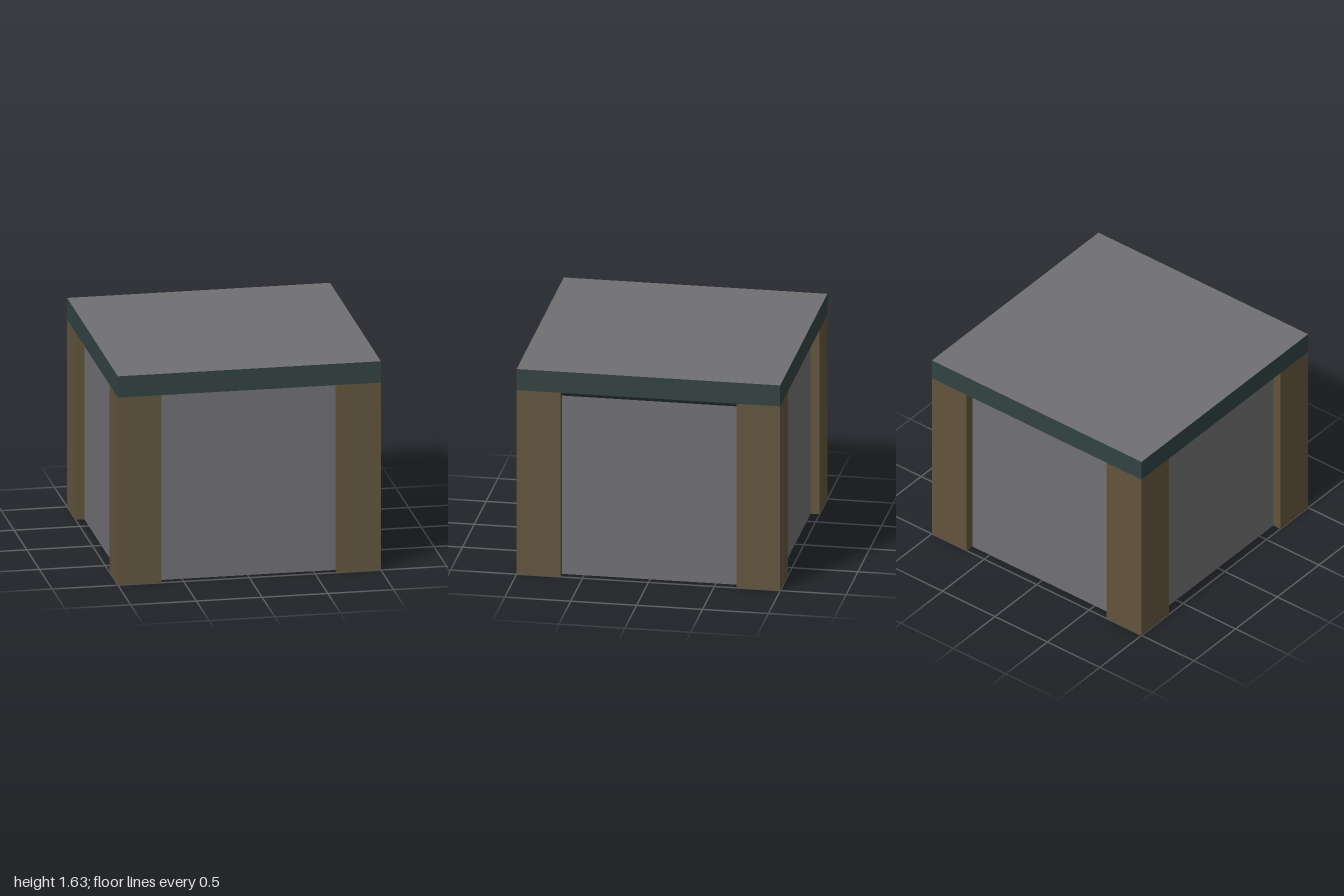
import * as THREE from 'three';

const ROOF = 1.634, EAVE = 1.467, SILL = 1.42; // heights
const IN = 0.667, WALL = 0.933;                // post inner edge, recessed wall plane

const mat = (color) => new THREE.MeshStandardMaterial({ color, side: THREE.DoubleSide, flatShading: true });

// Open strip of flat quads between two matching rows of points
function strip(name, rowA, rowB, material) {
  const pos = [];
  for (let i = 0; i < rowA.length - 1; i++) {
    const [a, b, c, d] = [rowA[i], rowA[i + 1], rowB[i + 1], rowB[i]];
    pos.push(...a, ...b, ...c, ...a, ...c, ...d);
  }
  const g = new THREE.BufferGeometry();
  g.setAttribute('position', new THREE.Float32BufferAttribute(pos, 3));
  g.computeVertexNormals();
  const m = new THREE.Mesh(g, material);
  m.name = name;
  return m;
}

export function createModel() {
  const model = new THREE.Group();
  model.name = 'squareShelter';
  const grey = mat(0x707072), wood = mat(0x62543d), teal = mat(0x324241);

  // Plan of one corner post, open towards the inside
  const plan = [[WALL, IN], [1, IN], [1, 1], [IN, 1], [IN, WALL]];

  for (let i = 0; i < 4; i++) {
    const side = new THREE.Group();
    side.name = 'side' + (i + 1);
    side.rotation.y = i * Math.PI / 2;

    // Corner post: outer faces and foot
    const ring = (y) => plan.map(([x, z]) => [x, y, z]).reverse();
    side.add(strip('post', ring(0), ring(EAVE), wood));
    const foot = new THREE.Mesh(
      new THREE.ShapeGeometry(new THREE.Shape(plan.map(([x, z]) => new THREE.Vector2(x, z)))), grey);
    foot.rotation.x = Math.PI / 2;
    foot.name = 'postFoot';
    side.add(foot);

    // Recessed wall; the left and right ones stop lower, below a sloped soffit
    const top = i % 2 ? SILL : EAVE;
    const line = (y, z, w = IN) => [[-w, y, z], [w, y, z]];
    side.add(strip('wall', line(0, WALL), line(top, WALL), grey));
    side.add(strip('soffit', line(top, WALL), line(EAVE, 1), teal));

    // Roof edge
    side.add(strip('roofEdge', line(EAVE, 1, 1), line(ROOF, 1, 1), teal));
    model.add(side);
  }

  // Flat roof
  const roof = new THREE.Mesh(new THREE.PlaneGeometry(2, 2), grey);
  roof.rotation.x = -Math.PI / 2;
  roof.position.y = ROOF;
  roof.name = 'roof';
  model.add(roof);
  return model;
}
